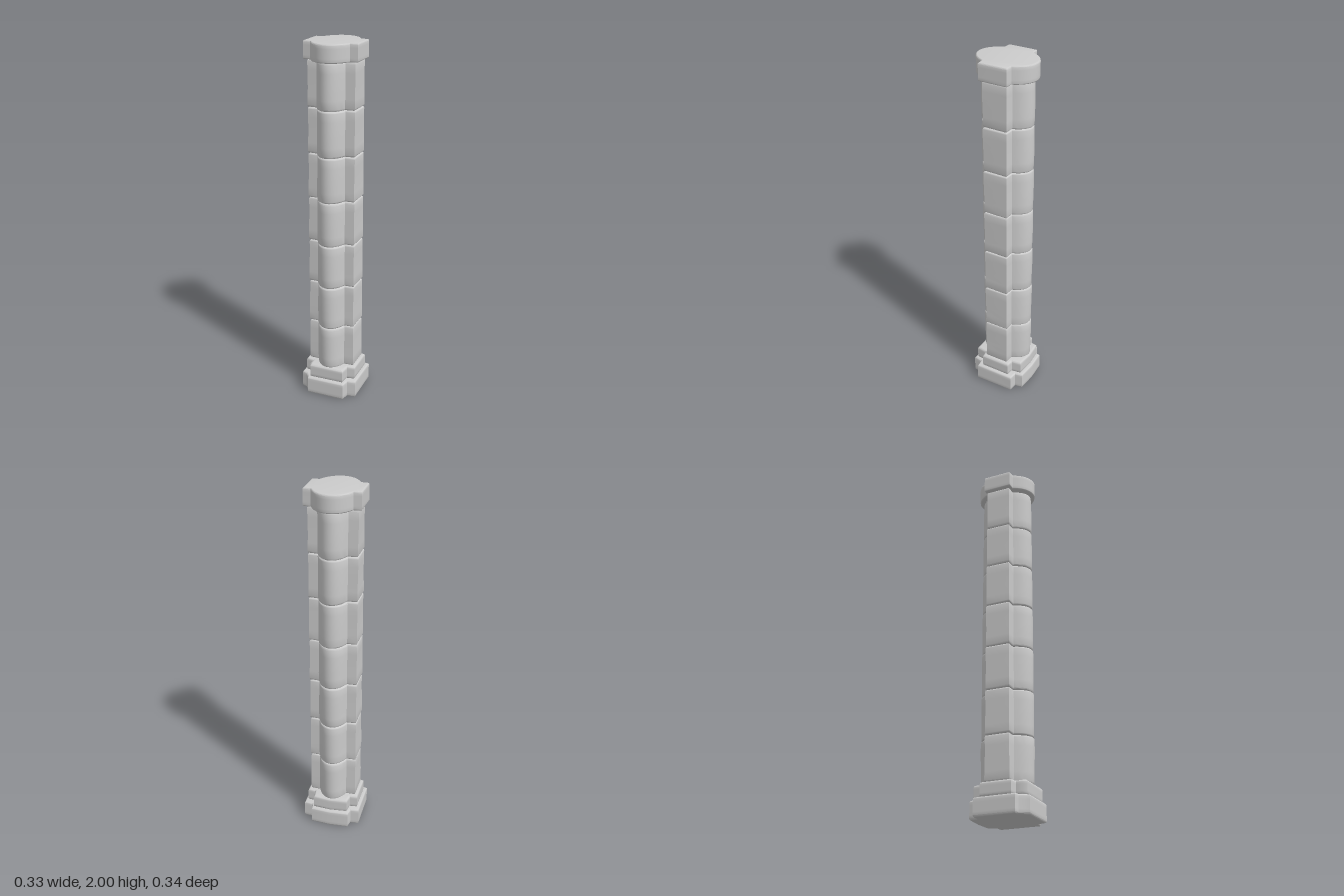
import * as THREE from 'three';
import { toCreasedNormals } from 'three/addons/utils/BufferGeometryUtils.js';

const stone = new THREE.MeshStandardMaterial({ color: 0xcccccc });

// Cross plan with flat side wings (half size wx, wz) and rounded front and back lobes.
// The lobes meet the wings at x = nx and reach z = lz.
function roundPlan(wx, wz, nx, lz) {
  const a = nx / Math.sqrt(1 - (wz / lz) ** 2);
  const start = Math.asin(wz / lz);
  const points = [];
  for (const s of [1, -1]) {
    points.push([s * wx, -s * wz * 0.96], [s * wx, s * wz * 0.96]);
    for (let i = 0; i <= 12; i++) {
      const t = start + (Math.PI - 2 * start) * i / 12;
      points.push([s * a * Math.cos(t), s * lz * Math.sin(t)]);
    }
  }
  return points;
}

// Cross plan with square front and back lobes; the front left-hand notch is worn away.
function squarePlan(wx, wz, nx, lz, worn) {
  return [
    [wx, -wz], [wx, wz], [nx + 0.008, wz + 0.008], [nx, lz],
    [-nx, lz], [-nx - 0.01, lz - 0.02],
    ...(worn ? [[-nx - 0.03, wz + 0.008]] : [[-nx - 0.008, wz + 0.008]]),
    [-wx, wz], [-wx, -wz], [-nx - 0.008, -wz - 0.004], [-nx, -lz + 0.008],
    [0, -lz], [nx, -lz + 0.008], [nx + 0.008, -wz - 0.004],
  ];
}

// One bevelled stone course, gently uneven as if hand cut
function course(name, plan, y0, y1, bevel, wear, seed) {
  // z is flipped because the extrusion is turned upright
  const shape = new THREE.Shape(plan.map(([x, z]) => new THREE.Vector2(x, -z)).reverse());
  const geometry = new THREE.ExtrudeGeometry(shape, {
    depth: y1 - y0 - 2 * bevel, steps: 5, bevelEnabled: true, bevelThickness: bevel,
    bevelSize: bevel, bevelOffset: -bevel, bevelSegments: 3,
  });
  geometry.rotateX(-Math.PI / 2);
  geometry.translate(0, y0 + bevel, 0);
  const p = geometry.attributes.position;
  for (let i = 0; i < p.count; i++) {
    const x = p.getX(i), y = p.getY(i), z = p.getZ(i);
    const k = 1 + wear * Math.sin(y * 17 + Math.atan2(z, x) * 2 + seed * 2.4);
    p.setXYZ(i, x * k, y, z * k);
  }
  const mesh = new THREE.Mesh(toCreasedNormals(geometry, 0.6), stone);
  mesh.name = name;
  return mesh;
}

export function createModel() {
  const column = new THREE.Group();
  column.name = 'stoneColumn';

  // Two stepped base stones
  column.add(course('basePlinth', squarePlan(0.163, 0.113, 0.108, 0.167, true), 0, 0.1, 0.01, 0.004, 0));
  column.add(course('upperPlinth', squarePlan(0.148, 0.085, 0.098, 0.15, false), 0.098, 0.177, 0.012, 0.006, 1));

  // Seven equal shaft blocks
  const shaft = new THREE.Group();
  shaft.name = 'shaft';
  const plan = roundPlan(0.131, 0.071, 0.079, 0.146);
  const bottom = 0.175, height = 0.247;
  for (let i = 0; i < 7; i++) {
    const y = bottom + i * height;
    shaft.add(course(`shaftBlock${i + 1}`, plan, y, y + height, 0.01, 0.012, i + 2));
  }
  column.add(shaft);

  // Capital slab
  column.add(course('capital', roundPlan(0.149, 0.083, 0.108, 0.167), 1.905, 2, 0.007, 0.004, 9));
  return column;
}
